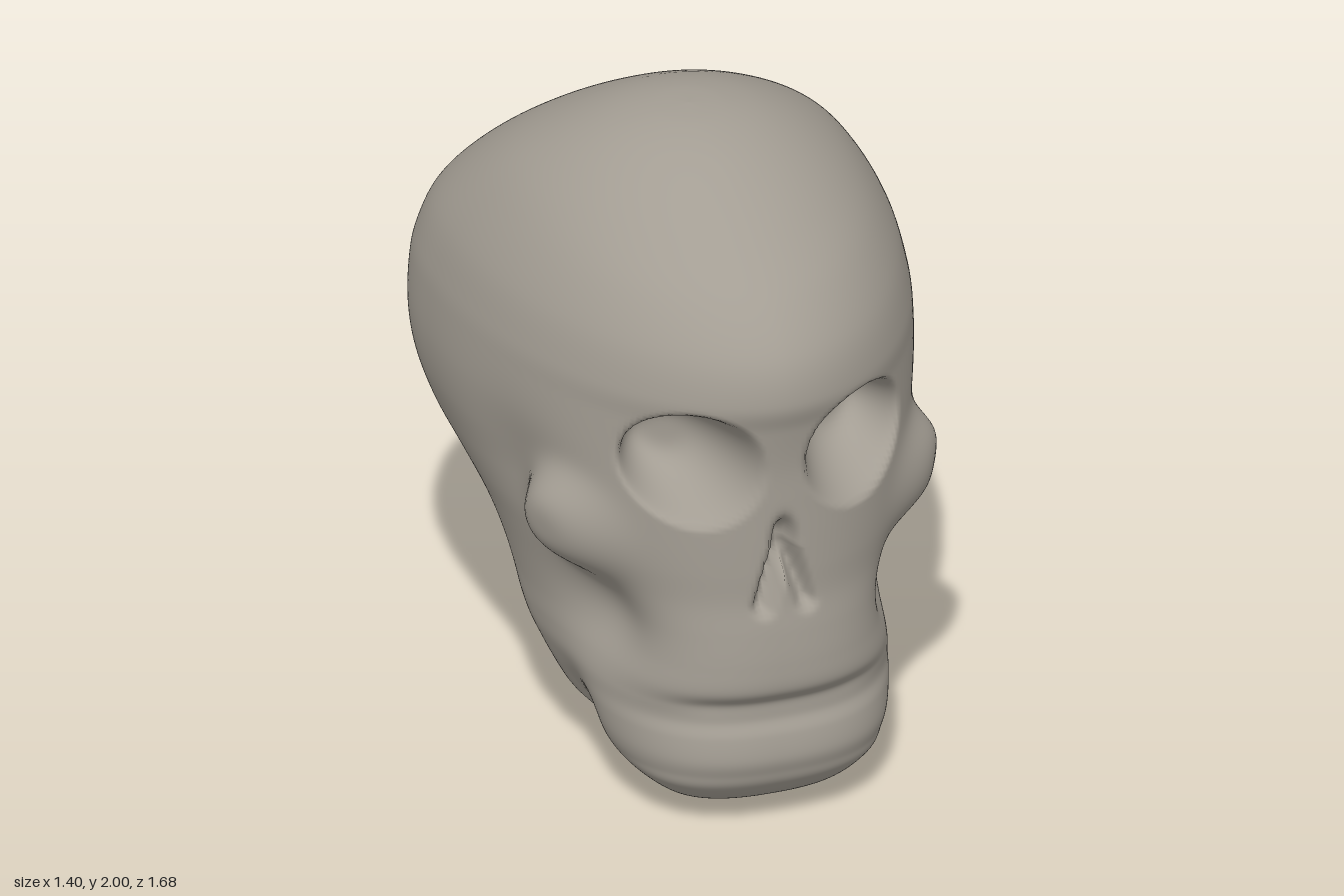
import * as THREE from 'three';

const { smoothstep, lerp, clamp } = THREE.MathUtils;

// Horizontal cross-sections from crown to chin:
// height, half width, front z, back z, z of the widest point
const SECTIONS = [
  [2.0, 0, -0.01, -0.01, -0.01],
  [1.99, 0.115, 0.11, -0.14, -0.01],
  [1.955, 0.24, 0.24, -0.27, -0.03],
  [1.89, 0.365, 0.38, -0.41, -0.07],
  [1.8, 0.478, 0.535, -0.55, -0.13],
  [1.69, 0.567, 0.695, -0.675, -0.19],
  [1.56, 0.64, 0.806, -0.775, -0.25],
  [1.43, 0.68, 0.842, -0.825, -0.29],
  [1.33, 0.695, 0.821, -0.842, -0.3],
  [1.2, 0.7, 0.803, -0.838, -0.3],
  [1.08, 0.687, 0.8, -0.815, -0.29],
  [0.96, 0.655, 0.8, -0.78, -0.25],
  [0.86, 0.62, 0.8, -0.7, -0.19],
  [0.76, 0.58, 0.8, -0.585, -0.12],
  [0.66, 0.545, 0.812, -0.485, -0.05],
  [0.56, 0.515, 0.82, -0.385, 0.02],
  [0.48, 0.5, 0.817, -0.3, 0.08],
  [0.42, 0.49, 0.787, -0.255, 0.13],
  [0.37, 0.477, 0.776, -0.23, 0.17],
  [0.32, 0.463, 0.796, -0.205, 0.22],
  [0.25, 0.44, 0.806, -0.14, 0.3],
  [0.2, 0.415, 0.794, 0.0, 0.36],
  [0.15, 0.372, 0.772, 0.22, 0.45],
  [0.08, 0.29, 0.7, 0.3, 0.48],
  [0.03, 0.21, 0.57, 0.345, 0.45],
  [0.005, 0.1, 0.47, 0.39, 0.43],
  [0.0, 0, 0.43, 0.43, 0.43],
];
const STEPS = 9; // rings between two sections
const SIDES = 296;

// Smooth curve through one column of the section table
function sample(column, t) {
  const last = SECTIONS.length - 1;
  const i = Math.min(Math.floor(t), last - 1);
  const f = t - i;
  const at = (k) => SECTIONS[clamp(k, 0, last)][column];
  const [a, b, c, d] = [at(i - 1), at(i), at(i + 1), at(i + 2)];
  return b + 0.5 * f * (c - a + f * (2 * a - 5 * b + 4 * c - d + f * (3 * (b - c) + d - a)));
}

// Soft round spot of height 1; a higher power gives steeper sides
const spot = (u, v, ru, rv, power = 2) =>
  Math.exp(-Math.pow(Math.hypot(u / ru, v / rv), power));

// Distance from a point to a segment in the plane
function segmentDistance(x, y, ax, ay, bx, by) {
  const dx = bx - ax, dy = by - ay;
  const t = clamp(((x - ax) * dx + (y - ay) * dy) / (dx * dx + dy * dy), 0, 1);
  return Math.hypot(x - ax - t * dx, y - ay - t * dy);
}

// Bumps and hollows of the bone
function sculpt(p) {
  const { x, y, z } = p;
  const ax = Math.abs(x);

  let side = 0;
  side -= 0.06 * spot(z - 0.22, y - 1.0, 0.2, 0.2);           // temple
  side += 0.185 * spot(z - 0.41, y - 0.92, 0.165, 0.15, 3.5); // cheekbone
  side -= 0.18 * spot(z - 0.45, y - 0.63, 0.2, 0.15);         // hollow under the cheekbone
  side += 0.04 * spot(z - 0.0, y - 0.48, 0.16, 0.17);         // jaw branch
  side -= 0.17 * spot(z + 0.32, y - 0.55, 0.13, 0.2);         // groove behind the jaw
  side -= 0.1 * spot(z - 0.28, y - 0.22, 0.1, 0.12);          // notch beside the chin
  p.x = x * (1 + side);

  if (z > 0.3) {
    // eye sockets
    const r = Math.hypot((ax - 0.25) / 0.185, (y - 1.205) / 0.187);
    p.z -= 0.27 * (1 - smoothstep(r * r, 0, 1.12));
    // nose opening: narrow top with two legs that run out downwards
    const leg = segmentDistance(ax, y, 0.012, 0.92, 0.066, 0.75);
    const legDepth = lerp(0.045, 0.09, smoothstep(y, 0.72, 0.9));
    const top = 0.09 * spot(ax, y - 0.945, 0.032, 0.075, 3);
    p.z -= Math.max(legDepth * spot(leg, 0, 0.025, 1, 2.5), top);
    // mouth line
    p.z -= 0.012 * Math.exp(-Math.pow((y - 0.425) / 0.03, 2)) * (1 - smoothstep(ax, 0.2, 0.38));
  }
  // shallow dent down the back of the head
  if (z < -0.3) p.z += 0.012 * spot(x, y - 1.35, 0.2, 0.4);
  // shallow hollow underneath, between the jaw branches
  p.y += 0.09 * spot(x, z - 0.02, 0.17, 0.18) * (1 - smoothstep(y, 0.25, 0.5));
}

function skullGeometry() {
  const rings = (SECTIONS.length - 1) * STEPS;
  const positions = [];
  const indices = [];
  const p = new THREE.Vector3();

  for (let i = 0; i <= rings; i++) {
    const t = i / STEPS;
    const [y, w, front, back, mid] = [0, 1, 2, 3, 4].map((c) => sample(c, t));
    // squareness of the front and back halves of the section
    const frontPower = lerp(2.5, 2.2, smoothstep(y, 0.25, 0.85)) - 0.32 * smoothstep(y, 0.7, 1.65);
    const lowBack = spot(y - 0.7, 0, 0.22, 1);
    const backPower = lerp(2.85, 2.2, lowBack) - 0.75 * smoothstep(y, 1.5, 1.95);
    for (let j = 0; j < SIDES; j++) {
      const a = (j / SIDES) * Math.PI * 2;
      const c = Math.cos(a), s = Math.sin(a);
      const e = 2 / (s >= 0 ? frontPower : backPower);
      const reach = s >= 0 ? front - mid : back - mid;
      p.set(
        Math.max(w, 0) * Math.sign(c) * Math.pow(Math.abs(c), e),
        Math.max(y, 0),
        mid + reach * Math.pow(Math.abs(s), e)
      );
      sculpt(p);
      positions.push(p.x, p.y, p.z);
    }
  }
  for (let i = 0; i < rings; i++) {
    for (let j = 0; j < SIDES; j++) {
      const k = (j + 1) % SIDES;
      const a = i * SIDES + j, b = i * SIDES + k;
      const c = a + SIDES, d = b + SIDES;
      if (i > 0) indices.push(a, b, c);
      if (i < rings - 1) indices.push(b, d, c);
    }
  }
  const geometry = new THREE.BufferGeometry();
  geometry.setAttribute('position', new THREE.Float32BufferAttribute(positions, 3));
  geometry.setIndex(indices);
  geometry.computeVertexNormals();
  return geometry;
}

export function createModel() {
  const bone = new THREE.MeshStandardMaterial({ color: 0xa39d93 });
  bone.name = 'bone';

  const skull = new THREE.Mesh(skullGeometry(), bone);
  skull.name = 'skull';

  const model = new THREE.Group();
  model.name = 'skullModel';
  model.add(skull);
  return model;
}
